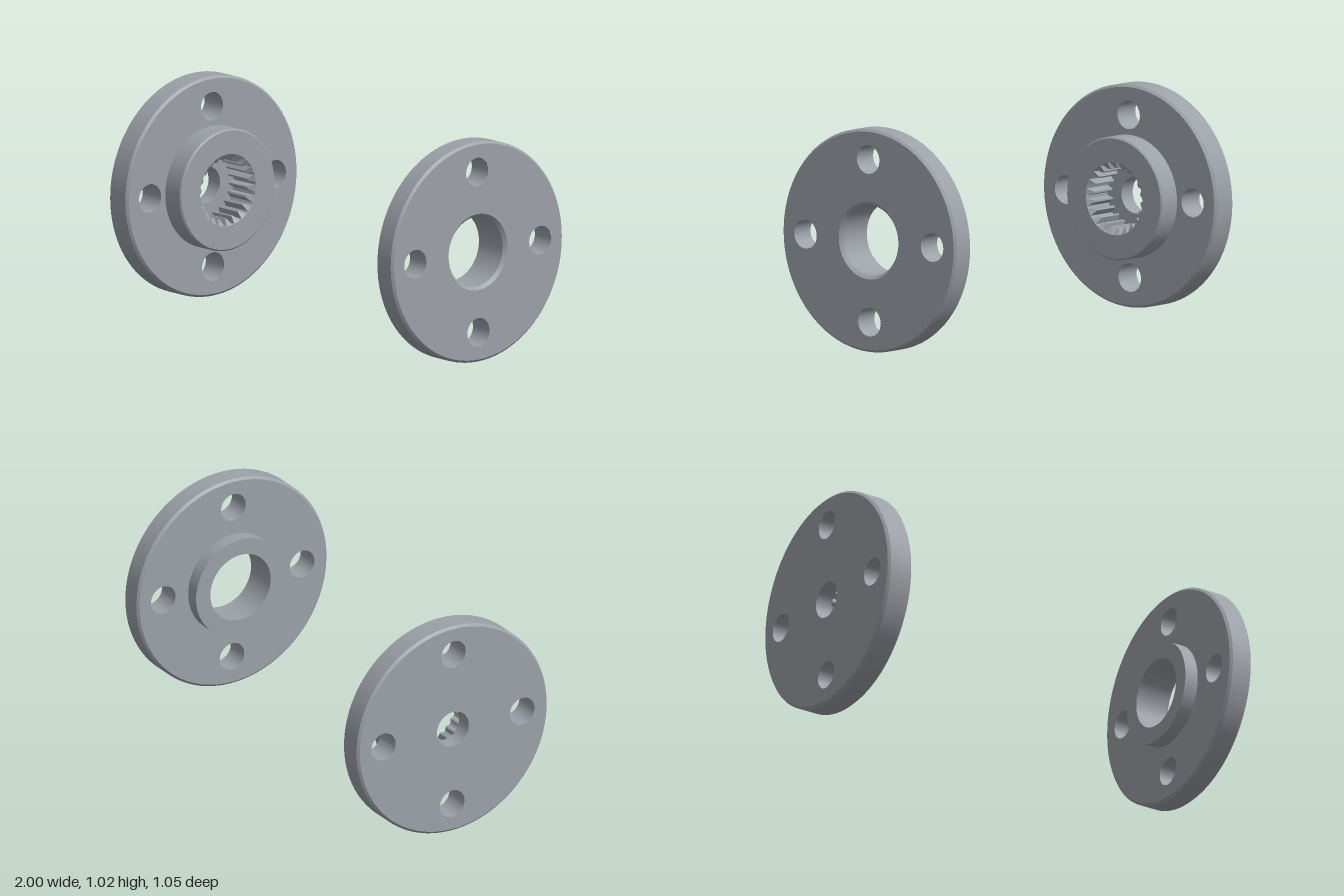
import * as THREE from 'three';
import { mergeGeometries } from 'three/addons/utils/BufferGeometryUtils.js';

const R = 0.511, BEVEL = 0.011;        // disc radius and edge chamfer
const BOLT_R = 0.066, BOLT_RING = 0.373;
const boltCentres = [0, 1, 2, 3].map(i => {
  const a = i * Math.PI / 2;
  return [Math.cos(a) * BOLT_RING, Math.sin(a) * BOLT_RING];
});

// Turned surface about z; every profile segment [radius, z] keeps a sharp edge.
function turned(points, segments = 96) {
  const parts = [];
  for (let i = 0; i + 1 < points.length; i++) {
    const pair = [points[i], points[i + 1]].map(p => new THREE.Vector2(p[0], p[1]));
    parts.push(new THREE.LatheGeometry(pair, segments).rotateX(Math.PI / 2));
  }
  return mergeGeometries(parts);
}

// Flat disc face with a centre hole and four bolt holes.
function discFace(centreR, z, facesBack) {
  const shape = new THREE.Shape().absarc(0, 0, R - BEVEL, 0, Math.PI * 2);
  const addHole = (x, y, r) => shape.holes.push(new THREE.Path().absarc(x, y, r, 0, Math.PI * 2, true));
  addHole(0, 0, centreR);
  boltCentres.forEach(([x, y]) => addHole(x, y, BOLT_R));
  const g = new THREE.ShapeGeometry(shape, 48);
  if (facesBack) g.rotateX(Math.PI);
  return g.translate(0, 0, z);
}

// Drilled disc between z0 and z1: two faces, chamfered rim, bolt hole walls.
function disc(z0, z1, hole0, hole1) {
  const rim = [[R - BEVEL, z0], [R, z0 + BEVEL], [R, z1 - BEVEL], [R - BEVEL, z1]];
  const bolts = boltCentres.map(([x, y]) =>
    turned([[BOLT_R, z1], [BOLT_R, z0]], 48).translate(x, y, 0));
  return mergeGeometries([discFace(hole0, z0, true), discFace(hole1, z1, false), turned(rim), ...bolts]);
}

// Internal spline: cone-chamfered tooth ends and straight tooth flanks.
function spline(rootR, tipR, zFloor, zEnd, teeth) {
  const steps = [[0, rootR], [0.3, rootR], [0.54, tipR], [0.76, tipR]];
  const rings = [[], [], []];
  for (let t = 0; t < teeth; t++) {
    for (const [f, r] of steps) {
      const a = (t + f) / teeth * Math.PI * 2, c = Math.cos(a), s = Math.sin(a);
      const edge = rootR + 0.001;
      rings[0].push([edge * c, edge * s, zEnd]);
      rings[1].push([r * c, r * s, zEnd - (edge - r) * 0.8]);
      rings[2].push([r * c, r * s, zFloor]);
    }
  }
  const pos = [], n = rings[0].length;
  for (let k = 0; k < 2; k++) {
    for (let i = 0; i < n; i++) {
      const j = (i + 1) % n;
      const a = rings[k][i], b = rings[k][j], c = rings[k + 1][j], d = rings[k + 1][i];
      pos.push(...a, ...b, ...c, ...a, ...c, ...d);
    }
  }
  const g = new THREE.BufferGeometry();
  g.setAttribute('position', new THREE.Float32BufferAttribute(pos, 3));
  g.computeVertexNormals();
  return g;
}

export function createModel() {
  const steel = new THREE.MeshStandardMaterial({ color: 0x9ca1a8 });
  steel.name = 'steel grey';

  // Both flanges share one axis, built along z and then turned to lie along x.
  const assembly = new THREE.Group();
  assembly.name = 'flangePair';
  const addFlange = (name, parts) => {
    const flange = new THREE.Group();
    flange.name = name;
    for (const [part, geometry] of Object.entries(parts)) {
      const mesh = new THREE.Mesh(geometry, steel);
      mesh.name = part;
      flange.add(mesh);
    }
    assembly.add(flange);
  };

  // Splined flange with a blind toothed socket and a small through hole.
  addFlange('splinedFlange', {
    disc: disc(-0.992, -0.864, 0.0855, 0.282),
    hub: turned([[0.282, -0.864], [0.282, -0.763], [0.275, -0.756], [0.167, -0.756]]),
    socketFloor: turned([[0.168, -0.911], [0.0855, -0.911], [0.0855, -0.992]]),
    socketTeeth: spline(0.166, 0.138, -0.911, -0.756, 22),
  });

  // Plain flange with a smooth bore, chamfered on its outer face.
  addFlange('plainFlange', {
    disc: disc(0.876, 0.991, 0.239, 0.177),
    hubAndBore: turned([[0.177, 0.991], [0.162, 0.976], [0.162, 0.809], [0.239, 0.809], [0.239, 0.876]]),
  });

  assembly.rotation.set(0, Math.PI / 2 - 0.0162, 0.0095);
  assembly.position.y = R;

  const model = new THREE.Group();
  model.name = 'flangeCoupling';
  model.add(assembly);
  return model;
}
